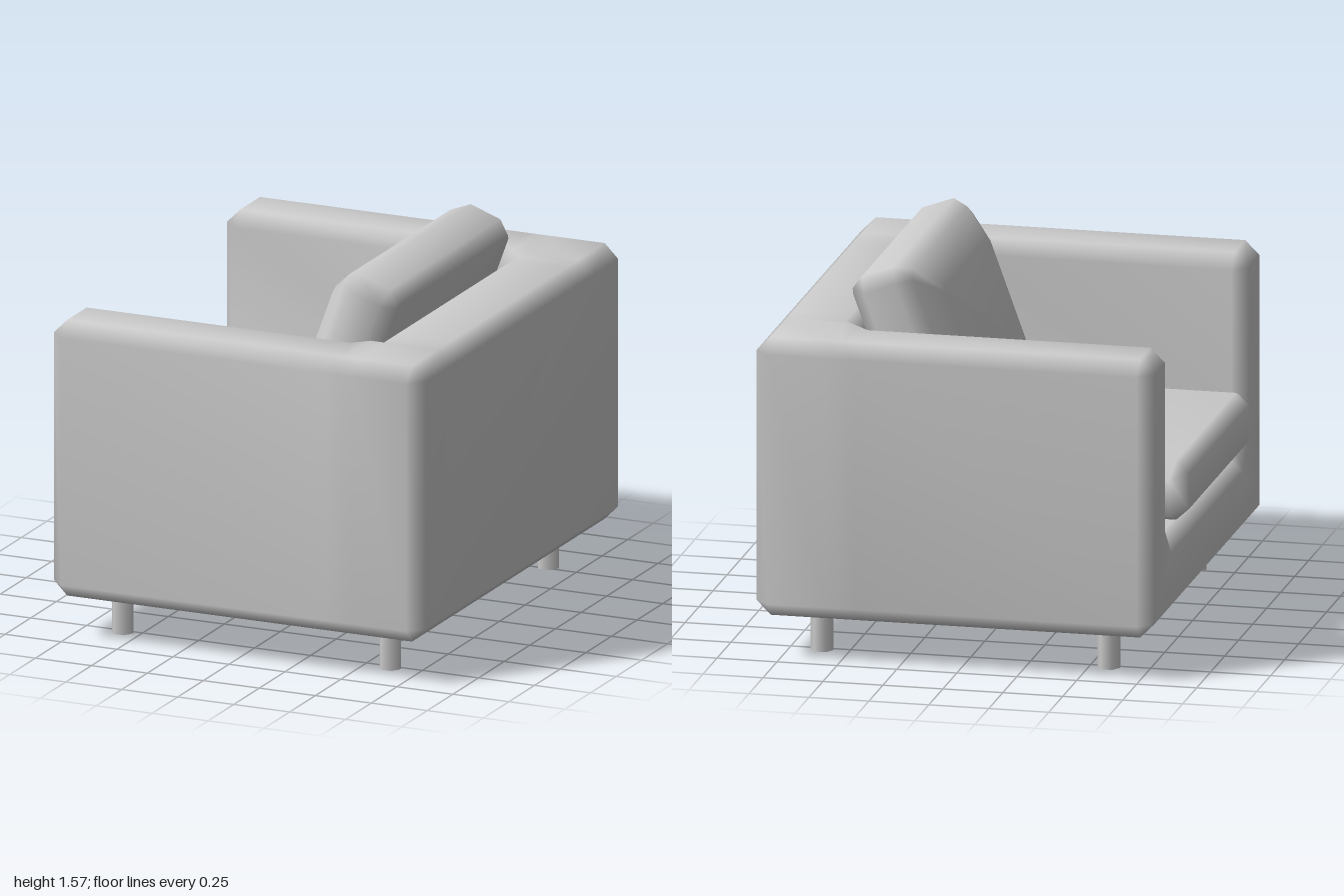
import * as THREE from 'three';
import { mergeVertices } from 'three/addons/utils/BufferGeometryUtils.js';

const material = new THREE.MeshStandardMaterial({ color: 0xcccccc });

// Skin a list of cross-sections { x, pts: [[z, y], ...] } along x, smooth-shaded.
function loft(sections, startCap) {
  const n = sections[0].pts.length;
  const positions = sections.flatMap(({ x, pts }) => pts.flatMap(([z, y]) => [x, y, z]));
  const index = [];
  for (let s = 0; s < sections.length - 1; s++) {
    for (let j = 0; j < n; j++) {
      const a = s * n + j, b = s * n + (j + 1) % n;
      index.push(a, a + n, b, b, a + n, b + n);
    }
  }
  const last = (sections.length - 1) * n;
  for (let j = 1; j < n - 1; j++) {
    if (!startCap) index.push(0, j, j + 1);
    index.push(last, last + j + 1, last + j);
  }
  if (startCap) index.push(...startCap);
  let geometry = new THREE.BufferGeometry();
  geometry.setAttribute('position', new THREE.Float32BufferAttribute(positions, 3));
  geometry.setIndex(index);
  geometry = mergeVertices(geometry, 1e-4);
  geometry.computeVertexNormals();
  return geometry;
}

// Complete a half section by mirroring it across z = 0.
const mirrored = (x, half) => ({
  x, pts: [...half, ...half.slice().reverse().map(([z, y]) => [-z, y])],
});

// Rectangle section with cut corners.
const cutRect = (x, hz, y0, y1, cz = 0, cy = 0) => mirrored(x, [
  [hz - cz, y0], [hz, y0 + cy], [hz, y1 - cy], [hz - cz, y1],
]);

function add(group, name, geometry) {
  const mesh = new THREE.Mesh(geometry, material);
  mesh.name = name;
  group.add(mesh);
  return mesh;
}

// Arms, base and back as one bevelled U-shaped body
function bodyGeometry() {
  const outer = [[0.94, 0.18], [1, 0.24], [1, 1.29], [0.94, 1.35]];
  const inset = [[0.94, 0.24], [0.94, 0.24], [0.94, 1.29], [0.94, 1.29]];
  const well = [[0.75, 1.35], [0.69, 1.29], [0.69, 0.60], [0.61, 0.52]];
  const mouth = [[0.75, 1.29], [0.75, 1.29], [0.75, 0.58], [0.64, 0.46]];
  const wellEnd = [[0.69, 1.35], [0.63, 1.29], [0.63, 0.64], [0.55, 0.58]];
  const filled = (y, top = y) => wellEnd.map(([z], i) => [z, i === 0 ? top : y]);
  const sections = [
    [-0.81, inset, mouth],
    [-0.75, outer, well],
    [0.43, outer, well],
    [0.49, outer, wellEnd],
    [0.49, outer, filled(1.29, 1.35)],
    [0.55, outer, filled(1.35)],
    [0.79, outer, filled(1.35)],
    [0.85, inset, filled(1.29)],
  ].map(([x, a, b]) => mirrored(x, [...a, ...b]));
  // U-shaped front face
  const front = [0, 2, 5, 0, 5, 6, 0, 6, 7, 0, 7, 8, 0, 8, 15,
    15, 8, 9, 15, 9, 10, 15, 10, 13];
  return loft(sections, front);
}

export function createModel() {
  const chair = new THREE.Group();
  chair.name = 'armchair';

  add(chair, 'body', bodyGeometry());

  // Seat cushion
  add(chair, 'seatCushion', loft([
    cutRect(-0.86, 0.53, 0.62, 0.77),
    cutRect(-0.805, 0.66, 0.57, 0.82, 0.13, 0.05),
    cutRect(0.195, 0.66, 0.57, 0.82, 0.13, 0.05),
    cutRect(0.25, 0.53, 0.62, 0.77),
  ]));

  // Back cushion: puffed front, leaning against the back
  const mid = 1.2;
  const pillow = add(chair, 'backCushion', loft([
    [-0.32, 0.40, 0.235, 0.02],
    [-0.248, 0.53, 0.36, 0.04],
    [-0.19, 0.60, 0.40, 0.06],
    [-0.05, 0.60, 0.40, 0.06],
    [0.01, 0.54, 0.36, 0.02],
  ].map(([x, hz, hy, cut]) => cutRect(x, hz, mid - hy, mid + hy, cut, cut))));
  pillow.rotation.z = THREE.MathUtils.degToRad(-20);
  pillow.position.z = -0.015;

  // Six-sided legs
  const legGeometry = new THREE.CylinderGeometry(0.048, 0.048, 0.2, 6);
  legGeometry.rotateY(Math.PI / 2);
  for (const [x, end] of [[-0.58, 'front'], [0.615, 'back']]) {
    for (const side of [1, -1]) {
      const leg = add(chair, `${end}Leg`, legGeometry);
      leg.position.set(x, 0.1, side * 0.77);
    }
  }
  return chair;
}
